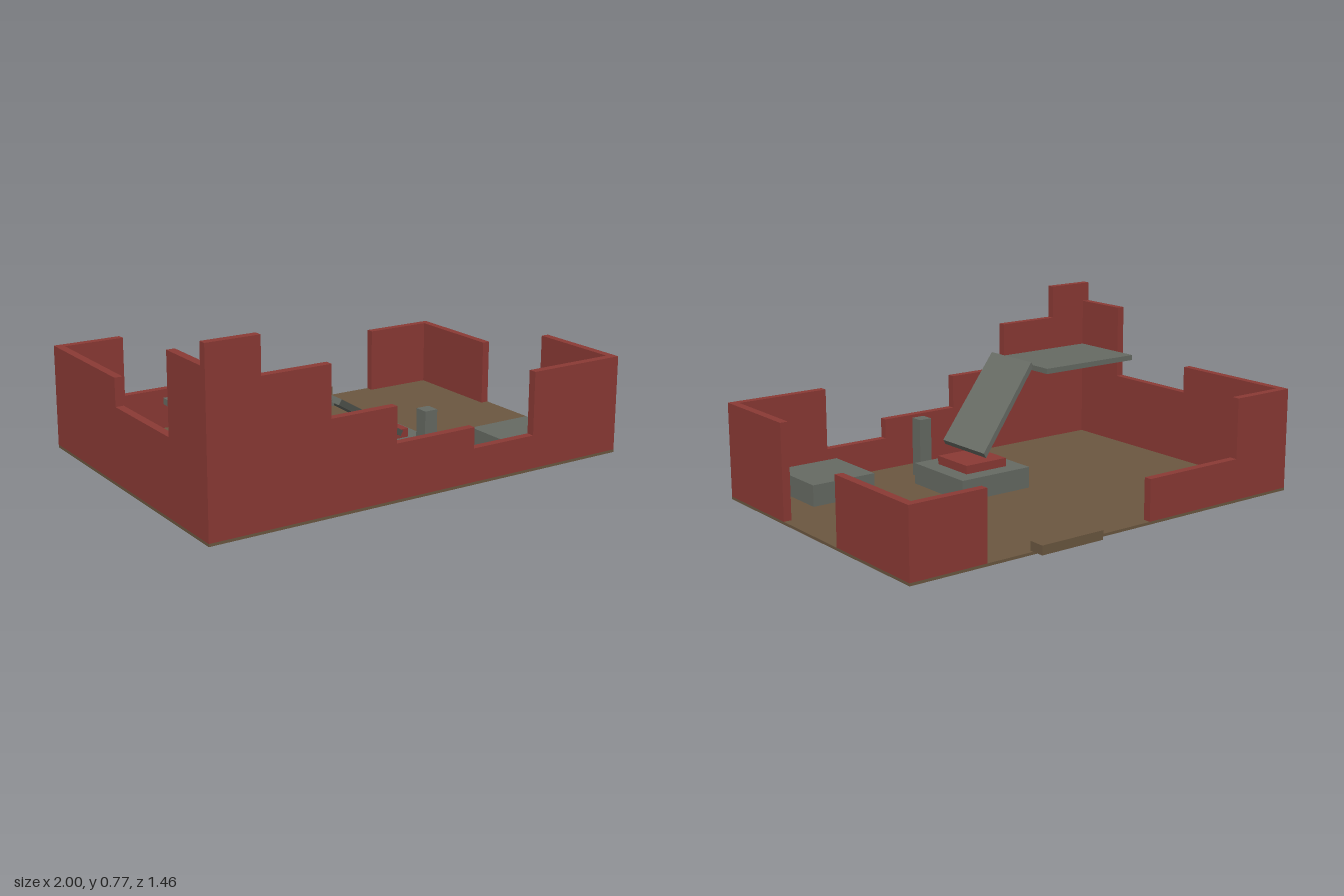
import * as THREE from 'three';

const brick = new THREE.MeshStandardMaterial({ color: 0x8b3a35 });
brick.name = 'red brick';
const stone = new THREE.MeshStandardMaterial({ color: 0x666a63 });
stone.name = 'grey stone';
const earth = new THREE.MeshStandardMaterial({ color: 0x6b5740 });
earth.name = 'brown earth';

// Box given by its extents along each axis
function block(name, material, [x0, x1], [y0, y1], [z0, z1]) {
  const mesh = new THREE.Mesh(new THREE.BoxGeometry(x1 - x0, y1 - y0, z1 - z0), material);
  mesh.position.set((x0 + x1) / 2, (y0 + y1) / 2, (z0 + z1) / 2);
  mesh.name = name;
  return mesh;
}

const FLOOR = 0.012, WALL = 0.036;
const X = 1, BACK = -0.67, FRONT = 0.71;

// Ruined wall: a row of segments [start, end, height] along one axis
function wall(name, axis, across, segments) {
  const group = new THREE.Group();
  group.name = name;
  segments.forEach(([a, b, h], i) => {
    const spans = axis === 'x' ? [[a, b], across] : [across, [a, b]];
    group.add(block(`${name}Segment${i + 1}`, brick, spans[0], [FLOOR, h], spans[1]));
  });
  return group;
}

// Fallen slab: a sloping box skewed sideways so both ends stay parallel to z
function fallenSlab() {
  const top = new THREE.Vector2(-0.43, 0.475), foot = new THREE.Vector2(0.08, 0.18);
  const run = foot.clone().sub(top), length = run.length(), thick = 0.025;
  const geometry = new THREE.BoxGeometry(length, thick, 0.308);
  const skew = -0.308 / length;
  const p = geometry.attributes.position;
  for (let i = 0; i < p.count; i++) p.setZ(i, p.getZ(i) + skew * p.getX(i));
  geometry.translate(0, -thick / 2, 0);
  geometry.rotateZ(run.angle());
  geometry.computeVertexNormals();
  const mesh = new THREE.Mesh(geometry, stone);
  mesh.position.set((top.x + foot.x) / 2, (top.y + foot.y) / 2, 0.418);
  mesh.name = 'fallenSlab';
  return mesh;
}

export function createModel() {
  const model = new THREE.Group();
  model.name = 'ruinedBuilding';

  // Ground and the sill outside the back opening
  model.add(block('floor', earth, [-X, X], [0, FLOOR], [BACK, FRONT]));
  model.add(block('backStep', earth, [0.12, 0.43], [FLOOR + 0.003, 0.055], [-0.733, -0.66]));

  // Broken walls
  const inBack = BACK + WALL, inFront = FRONT - WALL;
  model.add(wall('frontWall', 'x', [inFront, FRONT], [
    [-X, -0.77, 0.77], [-0.77, -0.465, 0.615], [-0.465, -0.16, 0.4],
    [-0.16, 0.225, 0.247], [0.225, 0.537, 0.157], [0.537, X, 0.432],
  ]));
  model.add(wall('backWall', 'x', [BACK, inBack], [
    [-X, -0.69, 0.462], [-0.69, -0.19, 0.195], [0.645, X, 0.31],
  ]));
  model.add(wall('rightWall', 'z', [-X, -X + WALL], [
    [inBack, -0.057, 0.462], [-0.057, 0.41, 0.34], [0.41, inFront, 0.68],
  ]));
  model.add(wall('leftWall', 'z', [X - WALL, X], [
    [inBack, -0.162, 0.31], [0.255, inFront, 0.432],
  ]));

  // Upper floor remnant and the slab leaning from it
  model.add(block('upperFloor', stone, [-X + WALL, -0.432], [0.437, 0.462], [0.302, inFront]));
  model.add(fallenSlab());

  // Interior stonework
  model.add(block('plinth', stone, [-0.107, 0.257], [FLOOR, 0.107], [0.025, 0.39]));
  model.add(block('plinthTop', brick, [-0.033, 0.183], [0.107, 0.145], [0.098, 0.312]));
  model.add(block('cornerBlock', stone, [0.49, 0.797], [FLOOR, 0.107], [0.36, inFront]));
  model.add(block('post', stone, [0.122, 0.183], [FLOOR, 0.28], [0.453, 0.514]));
  return model;
}
